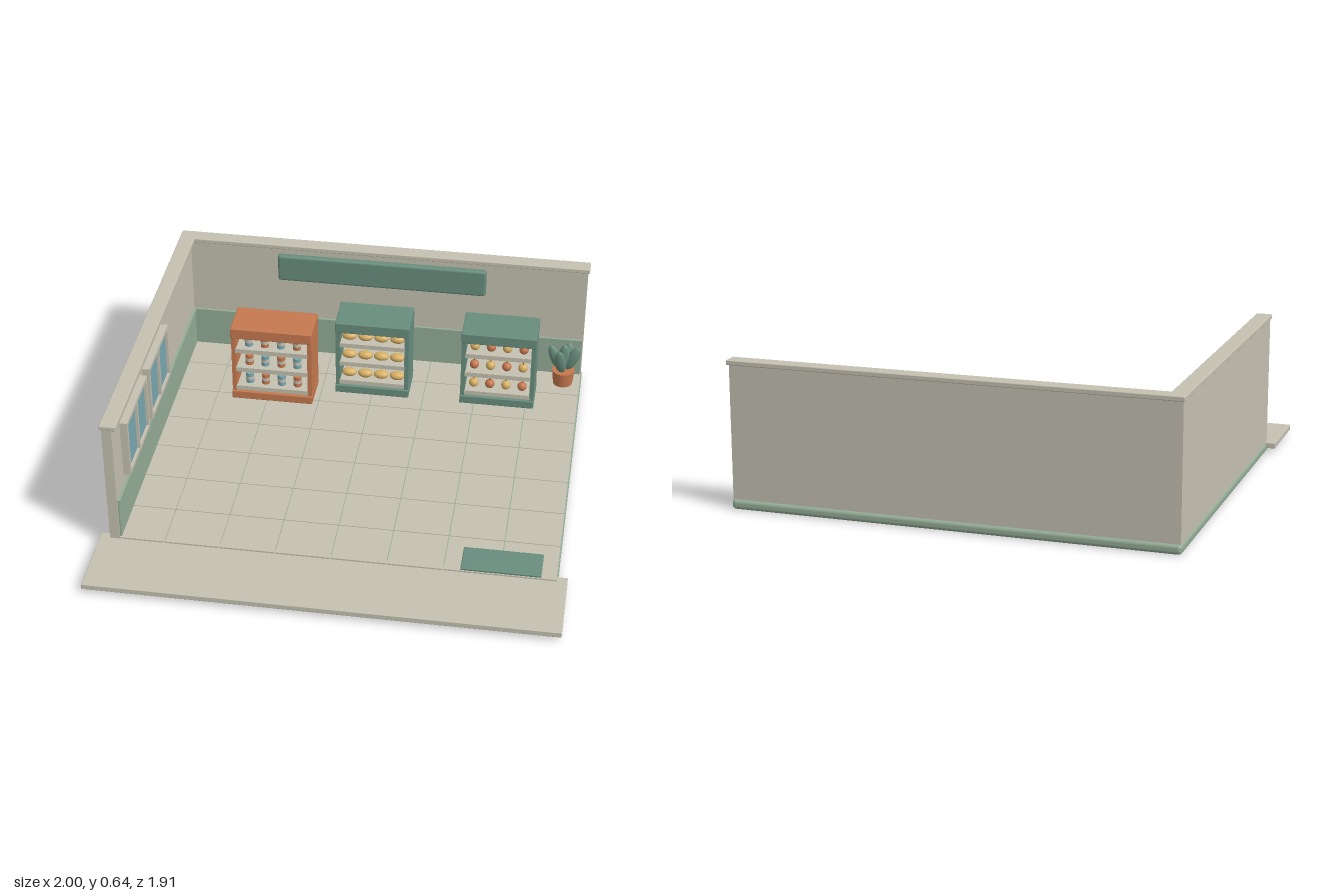
import * as THREE from 'three';
import { RoundedBoxGeometry } from 'three/addons/geometries/RoundedBoxGeometry.js';

const paint = (name, color) => {
  const m = new THREE.MeshStandardMaterial({ color });
  m.name = name;
  return m;
};

export function createModel() {
  const cream = paint('cream', 0xc5c1b1);
  const sage = paint('sage green', 0x94ac96);
  const green = paint('deep green', 0x688d7d);
  const orange = paint('terracotta', 0xc5784f);
  const blue = paint('glass blue', 0x7aa7b1);
  const yellow = paint('bread yellow', 0xd8b064);
  const brown = paint('dark brown', 0x5c4a3a);

  const model = new THREE.Group();
  model.name = 'shopInterior';

  const group = (name, parent = model) => {
    const g = new THREE.Group();
    g.name = name;
    parent.add(g);
    return g;
  };
  const add = (name, geo, mat, x, y, z, parent = model) => {
    const m = new THREE.Mesh(geo, mat);
    m.name = name;
    m.position.set(x, y, z);
    parent.add(m);
    return m;
  };
  // Box given by its minimum and maximum on each axis, optionally rounded
  const box = (name, mat, [x0, x1], [y0, y1], [z0, z1], parent = model, r = 0) => {
    const s = [x1 - x0, y1 - y0, z1 - z0];
    const geo = r ? new RoundedBoxGeometry(...s, 3, r) : new THREE.BoxGeometry(...s);
    return add(name, geo, mat, (x0 + x1) / 2, (y0 + y1) / 2, (z0 + z1) / 2, parent);
  };

  // Base, pavement and floor tiles
  box('base', sage, [-0.96, 0.96], [0, 0.042], [-0.955, 0.66], model, 0.016);
  box('pavement', cream, [-1, 1], [0.02, 0.045], [0.605, 0.955], model, 0.003);
  const floor = group('floor');
  const tw = 0.239, td = 0.2255, gap = 0.002;
  for (let i = 0; i < 8; i++) {
    for (let j = 0; j < 7; j++) {
      const x = -0.956 + i * tw, z = -0.942 + j * td;
      box('floorTile', cream, [x + gap, x + tw - gap], [0.035, 0.052], [z + gap, z + td - gap], floor);
    }
  }
  box('doormat', green, [0.55, 0.89], [0.05, 0.062], [0.485, 0.63], model, 0.004);

  // Walls with caps and lower panelling
  const walls = group('walls');
  box('backWall', cream, [-0.955, 0.955], [0.042, 0.618], [-0.945, -0.9], walls);
  box('leftWall', cream, [-0.955, -0.912], [0.042, 0.618], [-0.945, 0.635], walls);
  box('backCap', cream, [-0.963, 0.963], [0.615, 0.636], [-0.958, -0.888], walls, 0.004);
  box('sideCap', cream, [-0.963, -0.892], [0.615, 0.636], [-0.92, 0.64], walls, 0.004);
  box('backPanel', sage, [-0.912, 0.95], [0.05, 0.235], [-0.9, -0.893], walls);
  box('sidePanel', sage, [-0.912, -0.905], [0.05, 0.235], [-0.9, 0.627], walls);
  box('backRail', sage, [-0.912, 0.95], [0.232, 0.244], [-0.9, -0.888], walls);
  box('sideRail', sage, [-0.912, -0.9], [0.232, 0.244], [-0.9, 0.627], walls);
  box('signBoard', green, [-0.492, 0.489], [0.457, 0.591], [-0.9, -0.866], model, 0.012);

  // Two double windows on the side wall
  for (const zc of [0.325, -0.081]) {
    const w = group('window');
    const fx = [-0.912, -0.88], h = 0.18, t = 0.018;
    box('windowPane', blue, [-0.912, -0.892], [0.3, 0.55], [zc - h + 0.01, zc + h - 0.01], w);
    for (const y of [0.291, 0.542]) {
      box('windowRail', cream, fx, [y, y + t], [zc - h, zc + h], w);
    }
    for (const z of [zc - h, zc - t / 2 + 0.002, zc + h - t]) {
      box('windowPost', cream, fx, [0.291, 0.56], [z, z + t * (Math.abs(z - zc) < 0.05 ? 0.8 : 1)], w);
    }
  }

  // Goods
  const sphere = new THREE.SphereGeometry(1, 18, 12);
  const canBody = new THREE.CylinderGeometry(0.019, 0.019, 0.052, 18);
  const canBand = new THREE.CylinderGeometry(0.0197, 0.0197, 0.016, 18);
  const stemGeo = new THREE.CylinderGeometry(0.002, 0.003, 0.012, 6);
  const can = (x, y, z, i, row, g) => {
    add('can', canBody, (i + row) % 2 ? orange : blue, x, y + 0.026, z, g);
    add('canLabel', canBand, cream, x, y + 0.026, z, g);
  };
  const loaf = (x, y, z, i, row, g) => {
    add('loaf', sphere, yellow, x, y + 0.019, z, g).scale.set(0.035, 0.02, 0.024);
  };
  const fruit = (x, y, z, i, row, g) => {
    add('fruit', sphere, (i + row) % 2 ? orange : yellow, x, y + 0.021, z, g).scale.setScalar(0.022);
    add('fruitStem', stemGeo, brown, x, y + 0.046, z, g);
  };

  // Display shelf: open cabinet with three boards of four goods each
  const shelf = (name, mat, x, z, width, goods) => {
    const g = group(name);
    g.position.set(x, 0, z);
    const w = width / 2;
    box('cabinetBack', mat, [-w + 0.01, w - 0.01], [0.055, 0.4], [-0.095, -0.075], g);
    box('cabinetBase', mat, [-w, w], [0.052, 0.092], [-0.095, 0.095], g, 0.004);
    box('cabinetTop', mat, [-w, w], [0.383, 0.435], [-0.095, 0.095], g, 0.004);
    for (const s of [-1, 1]) {
      const a = s * (w - 0.002), b = s * (w - 0.022);
      box('cabinetSide', mat, [Math.min(a, b), Math.max(a, b)], [0.06, 0.4], [-0.095, 0.087], g);
    }
    [0.1, 0.202, 0.304].forEach((y, row) => {
      box('shelfBoard', cream, [-w + 0.02, w - 0.02], [y, y + 0.015], [-0.08, 0.082], g);
      box('shelfLip', cream, [-w + 0.02, w - 0.02], [y - 0.002, y + 0.02], [0.08, 0.089], g);
      for (let i = 0; i < 4; i++) goods((i - 1.5) * 0.075, y + 0.017, 0.04, i, row, g);
    });
  };
  shelf('cannedGoodsShelf', orange, -0.453, -0.55, 0.378, can);
  shelf('breadShelf', green, -0.002, -0.67, 0.345, loaf);
  shelf('fruitShelf', green, 0.583, -0.67, 0.345, fruit);

  // Potted plant with oval leaves fanning out around a tall centre leaf
  const plant = group('plant');
  plant.position.set(0.875, 0, -0.817);
  add('pot', new THREE.CylinderGeometry(0.053, 0.045, 0.075, 24), orange, 0, 0.087, 0, plant);
  const leaves = [
    [0, 0.195, 0, 0, 0], [-0.04, 0.19, 0, 0.4, 0], [0.04, 0.19, 0, -0.4, 0],
    [-0.015, 0.18, 0.027, 0.12, 0.2], [0.015, 0.185, -0.027, -0.12, -0.2],
  ];
  for (const [x, y, z, rz, rx] of leaves) {
    const leaf = add('leaf', sphere, green, x, y, z, plant);
    leaf.scale.set(0.027, 0.067, 0.018);
    leaf.rotation.set(rx, 0, rz);
  }
  return model;
}
